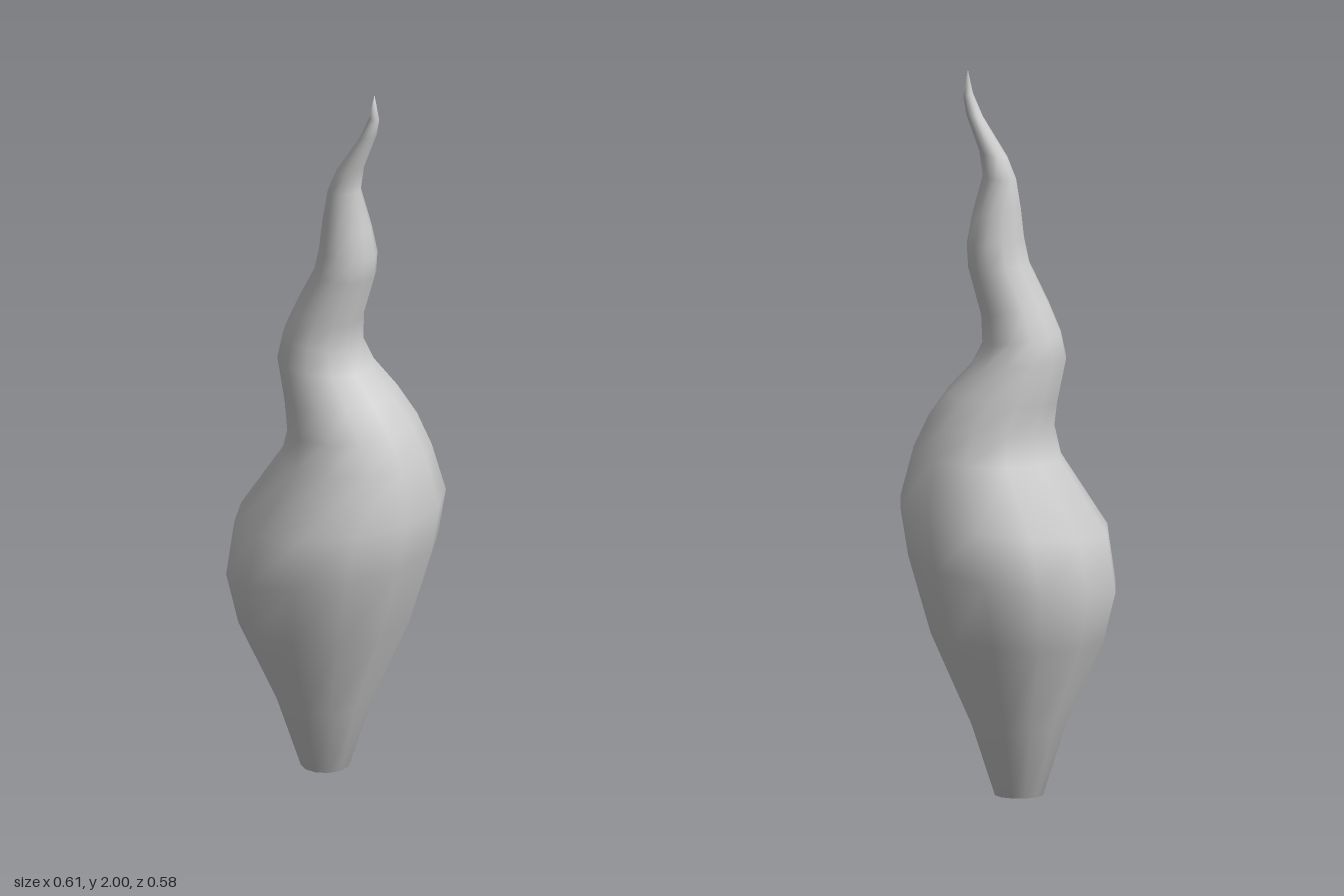
import * as THREE from 'three';

const SIDES = 12;

// Tilted cross-sections: left x, left y, right x, right y, half depth
const RINGS = [
  [-0.10, 0, 0.035, 0, 0.07],
  [-0.165, 0.2, 0.10, 0.2, 0.14],
  [-0.27, 0.43, 0.215, 0.46, 0.25],
  [-0.305, 0.57, 0.28, 0.68, 0.288],
  [-0.282, 0.73, 0.303, 0.81, 0.282],
  [-0.15, 0.93, 0.265, 0.95, 0.208],
  [-0.13, 1.01, 0.222, 1.04, 0.187],
  [-0.14, 1.09, 0.165, 1.12, 0.163],
  [-0.165, 1.21, 0.10, 1.19, 0.132],
  [-0.15, 1.28, 0.07, 1.25, 0.113],
  [-0.115, 1.36, 0.073, 1.33, 0.102],
  [-0.06, 1.47, 0.11, 1.46, 0.09],
  [-0.046, 1.54, 0.115, 1.52, 0.08],
  [-0.038, 1.62, 0.10, 1.6, 0.062],
  [-0.025, 1.7, 0.07, 1.71, 0.04],
  [0, 1.76, 0.08, 1.78, 0.035],
  [0.07, 1.87, 0.117, 1.88, 0.024],
  [0.098, 1.935, 0.125, 1.925, 0.014],
];

function flameGeometry() {
  const positions = [], index = [];
  for (const [lx, ly, rx, ry, depth] of RINGS) {
    for (let j = 0; j < SIDES; j++) {
      const a = (j / SIDES) * Math.PI * 2;
      const t = (1 + Math.cos(a)) / 2;
      positions.push(lx + (rx - lx) * t, ly + (ry - ly) * t, depth * Math.sin(a));
    }
  }
  const last = (RINGS.length - 1) * SIDES;
  const tip = last + SIDES, base = tip + 1;
  positions.push(0.112, 2, 0, -0.032, 0, 0);

  for (let j = 0; j < SIDES; j++) {
    const k = (j + 1) % SIDES;
    // wall between neighbouring rings
    for (let r = 0; r < last; r += SIDES) {
      const p = r + j, q = r + k;
      index.push(p, p + SIDES, q, q, p + SIDES, q + SIDES);
    }
    // pointed tip and closed foot
    index.push(last + j, tip, last + k, base, j, k);
  }
  const geometry = new THREE.BufferGeometry();
  geometry.setAttribute('position', new THREE.Float32BufferAttribute(positions, 3));
  geometry.setIndex(index);
  geometry.computeVertexNormals();
  return geometry;
}

export function createModel() {
  const group = new THREE.Group();
  const flame = new THREE.Mesh(
    flameGeometry(),
    new THREE.MeshStandardMaterial({ color: 0xcccccc })
  );
  flame.name = 'flame';
  group.add(flame);
  return group;
}
